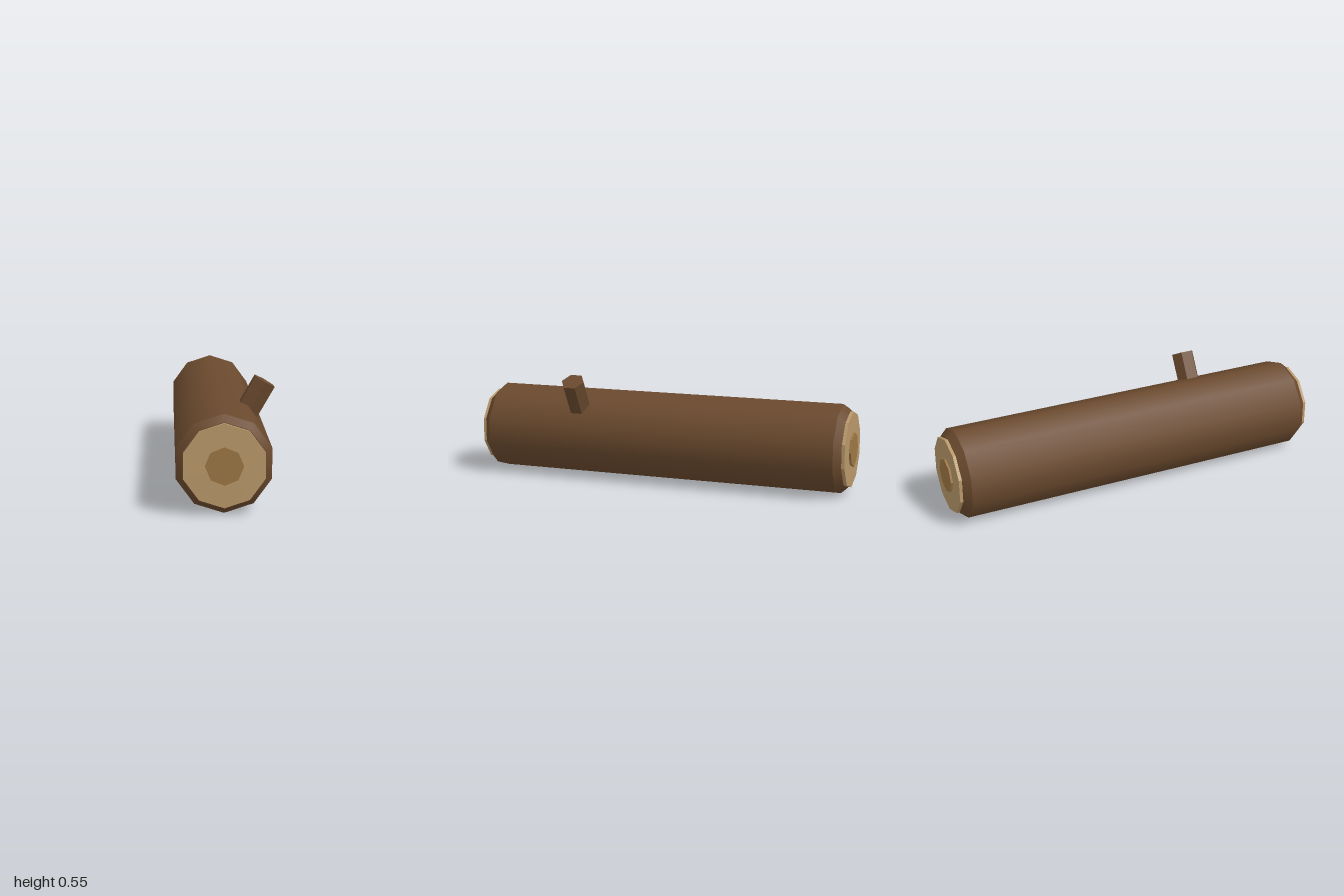
import * as THREE from 'three';

export function createModel() {
  const model = new THREE.Group();
  model.name = 'log';

  const paint = (color, flatShading = false) => new THREE.MeshStandardMaterial({ color, flatShading });
  const bark = paint(0x6b4a2e);
  const barkFlat = paint(0x6b4a2e, true);
  const wood = paint(0xb8986a, true);
  const pith = paint(0x9c7644, true);

  // The trunk lies along z, slightly off centre to leave room for the branch
  const trunk = new THREE.Group();
  trunk.name = 'trunk';
  trunk.position.set(-0.025, 0.23, 0);
  model.add(trunk);

  // Adds a prism along z between z0 and z1
  function addPrism(name, r0, r1, z0, z1, sides, material, open = false) {
    const geometry = new THREE.CylinderGeometry(r1, r0, z1 - z0, sides, 1, open);
    geometry.rotateX(Math.PI / 2);
    geometry.translate(0, 0, (z0 + z1) / 2);
    const mesh = new THREE.Mesh(geometry, material);
    mesh.name = name;
    trunk.add(mesh);
  }

  // Smooth-shaded bark
  addPrism('bark', 0.23, 0.23, -0.938, 0.938, 10, bark, true);

  // Chamfered bark rim, cut face and heartwood at both ends
  addPrism('frontRim', 0.23, 0.198, 0.938, 0.974, 10, bark);
  addPrism('backRim', 0.198, 0.23, -0.974, -0.938, 10, bark);
  addPrism('frontCut', 0.195, 0.195, 0.96, 0.99, 10, wood);
  addPrism('backCut', 0.195, 0.195, -0.99, -0.96, 10, wood);
  addPrism('frontHeartwood', 0.088, 0.088, 0.98, 1, 8, pith);
  addPrism('backHeartwood', 0.088, 0.088, -1, -0.98, 8, pith);

  // Hexagonal branch stub leaning 30 degrees towards +x
  const length = 0.3;
  const stub = new THREE.CylinderGeometry(0.062, 0.062, length, 6);
  stub.translate(0, -length / 2, 0);
  const branch = new THREE.Mesh(stub, barkFlat);
  branch.name = 'branchStub';
  branch.position.set(0.196, 0.528, 0.443);
  branch.rotation.z = -Math.PI / 6;
  model.add(branch);

  return model;
}
